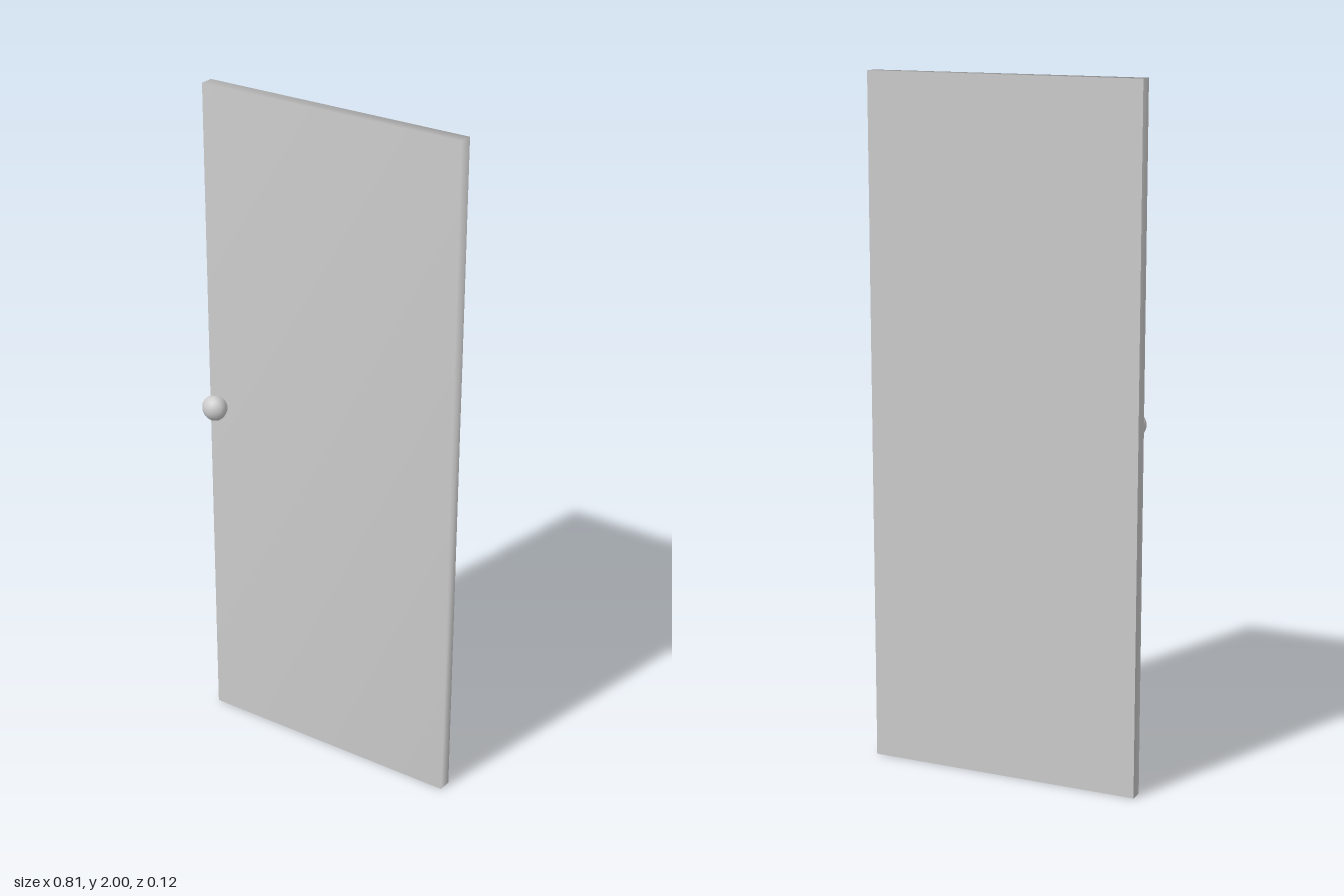
import * as THREE from 'three';
import { mergeVertices } from 'three/addons/utils/BufferGeometryUtils.js';

const W = 0.814, H = 2, D = 0.04, BACK = -0.06;

export function createModel() {
  const group = new THREE.Group();
  const material = new THREE.MeshStandardMaterial({ color: 0xcccccc });
  const add = (parent, name, geometry, mat = material) => {
    const mesh = new THREE.Mesh(geometry, mat);
    mesh.name = name;
    parent.add(mesh);
    return mesh;
  };

  // Door leaf: front and edges share soft normals, the back is a flat panel
  const door = new THREE.Group();
  door.name = 'door';
  door.position.set(0, H / 2, BACK + D / 2);
  group.add(door);

  let shell = new THREE.BoxGeometry(W, H, D);
  shell.setIndex(Array.from(shell.index.array).slice(0, 30)); // without the back face
  shell.clearGroups();
  shell.deleteAttribute('normal');
  shell.deleteAttribute('uv');
  shell = mergeVertices(shell);
  shell.computeVertexNormals();
  add(door, 'doorFrontAndEdges', shell);

  const back = add(door, 'doorBack', new THREE.PlaneGeometry(W, H));
  back.rotation.y = Math.PI;
  back.position.z = -D / 2;

  // Round knob on a short neck, turned about the z axis
  const knob = new THREE.Group();
  knob.name = 'doorKnob';
  knob.position.set(-0.357, 1.055, 0);
  group.add(knob);

  const turned = (profile) => new THREE.LatheGeometry(
    profile.map(([r, z]) => new THREE.Vector2(r, z)), 32).rotateX(Math.PI / 2);
  const open = material.clone();
  open.side = THREE.DoubleSide;

  add(knob, 'knobNeck', turned([
    [0.01, -0.016], [0.01, -0.007], [0.013, -0.004], [0.03, 0.005]]), open);
  add(knob, 'knobGrip', turned([
    [0.03, 0.005], [0.034, 0.014], [0.037, 0.024], [0.0372, 0.033],
    [0.034, 0.041], [0.027, 0.049], [0.017, 0.056], [0.008, 0.0585], [0, 0.059]]));

  return group;
}
